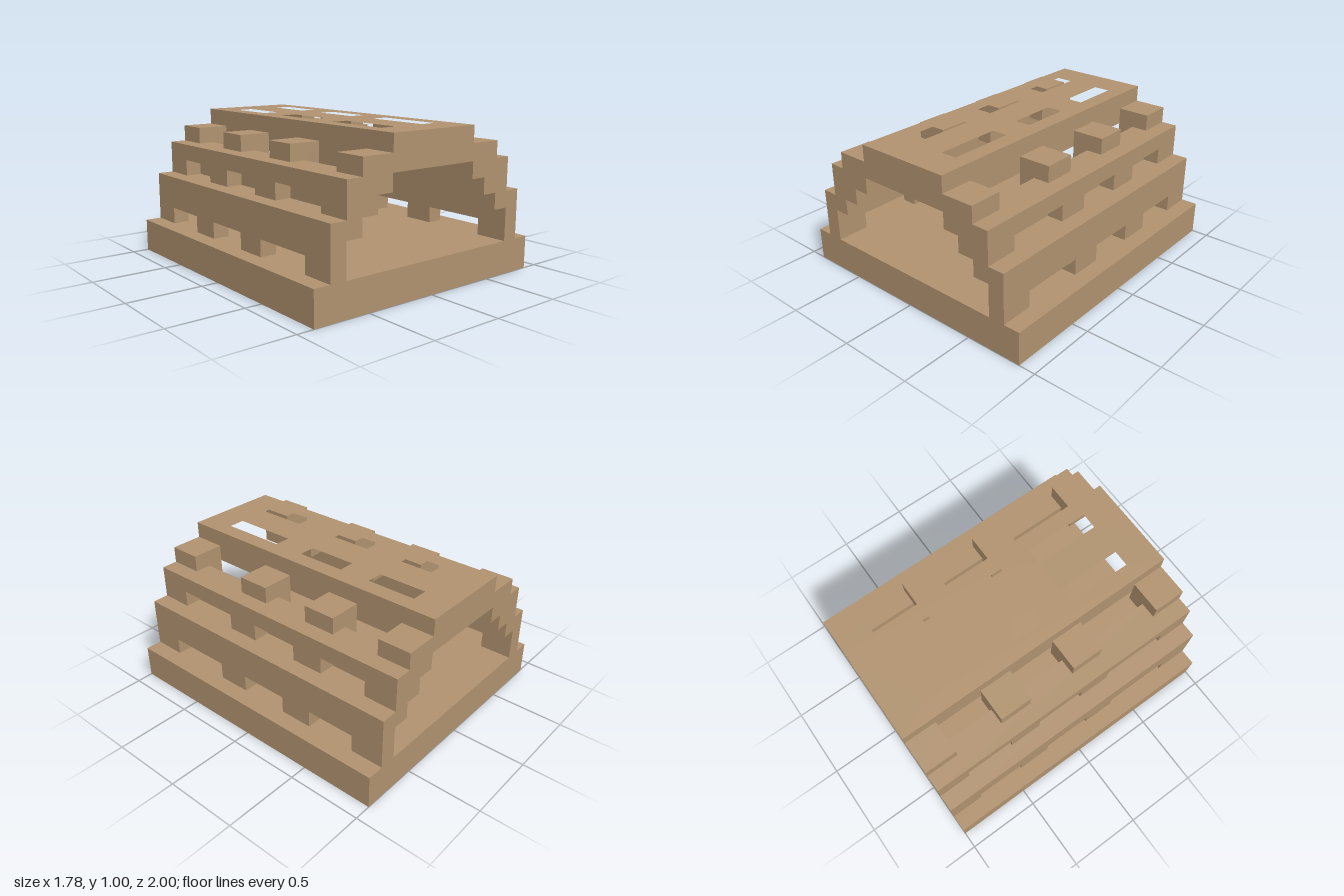
import * as THREE from 'three';

const U = 1 / 9; // size of one block
const HOLES = [[-7, -4], [-2, 1], [3, 7]]; // openings along the length
const POSTS = [[-9, -7], [-4, -2], [1, 3], [7, 9]]; // solid stretches between them
const FULL = [[-9, 9]];

export function createModel() {
  const model = new THREE.Group();
  const tan = new THREE.MeshStandardMaterial({ color: 0xb0926f });
  tan.name = 'tan';

  // Extrudes an x-y outline (in blocks) along each z range
  function addProfile(name, points, ranges) {
    const shape = new THREE.Shape(points.map(([x, y]) => new THREE.Vector2(x * U, y * U)));
    for (const [z0, z1] of ranges) {
      const geo = new THREE.ExtrudeGeometry(shape, { depth: (z1 - z0) * U, bevelEnabled: false });
      geo.translate(0, 0, z0 * U);
      const mesh = new THREE.Mesh(geo, tan);
      mesh.name = name;
      model.add(mesh);
    }
  }

  const rect = (x0, y0, x1, y1) => [[x0, y0], [x1, y0], [x1, y1], [x0, y1]];

  // Base slab
  addProfile('base', rect(-8, 0, 8, 2), FULL);

  // Roof slab with two rows of light slots
  const roof = new THREE.Shape(rect(-3, -9, 3, 9).map(([x, z]) => new THREE.Vector2(x * U, -z * U)));
  for (const x of [-2, 1]) {
    for (const [z0, z1] of HOLES) {
      roof.holes.push(new THREE.Path(
        rect(x, z0, x + 1, z1).map(([a, b]) => new THREE.Vector2(a * U, -b * U))));
    }
  }
  const roofGeo = new THREE.ExtrudeGeometry(roof, { depth: 2 * U, bevelEnabled: false });
  roofGeo.rotateX(-Math.PI / 2).translate(0, 7 * U, 0);
  const roofMesh = new THREE.Mesh(roofGeo, tan);
  roofMesh.name = 'roof';
  model.add(roofMesh);

  // Stepped side walls, mirrored
  for (const [s, side] of [[1, 'left'], [-1, 'right']]) {
    const add = (name, pts, ranges) =>
      addProfile(side + name, pts.map(([x, y]) => [s * x, y]), ranges);
    add('WallPost', rect(6, 2, 7, 3), POSTS);
    // Continuous stepped wall with a recess under its upper ledge
    add('SteppedWall', [[6, 3], [7, 3], [7, 5], [5, 5], [5, 6], [6, 6],
      [6, 7], [4, 7], [4, 5], [5, 5], [5, 4], [6, 4]].filter((p, i) => i < 3), []);
    add('LowerWall', [[6, 3], [7, 3], [7, 5], [5, 5], [5, 4], [6, 4]], FULL);
    add('UpperWall', [[4, 5], [5, 5], [5, 6], [6, 6], [6, 7], [4, 7]], FULL);
    add('RecessPost', rect(5, 5, 6, 6), POSTS);
    add('RoofBracket', [[3, 6], [4, 6], [4, 7], [5, 7], [5, 8], [3, 8]], POSTS);
  }
  return model;
}
